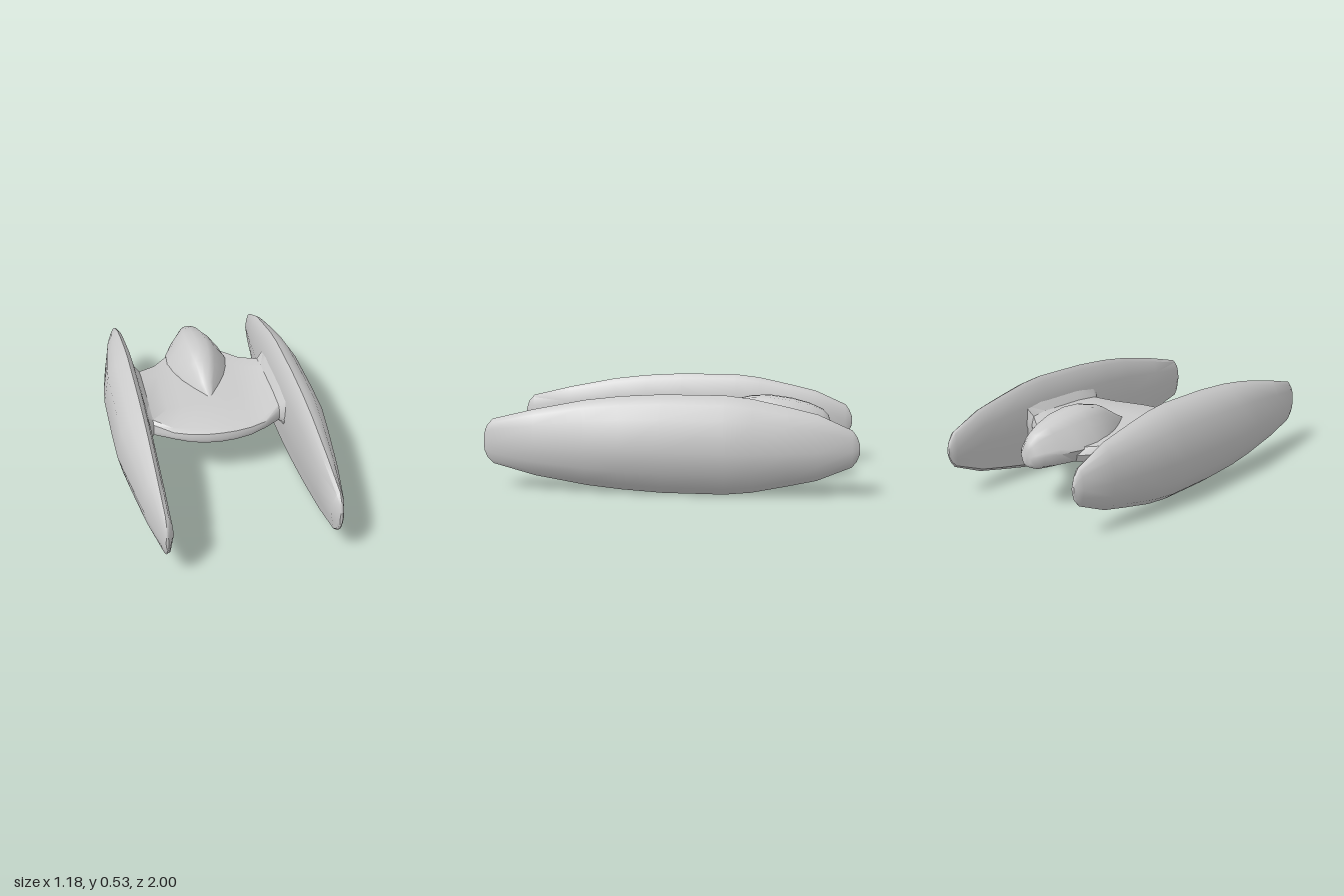
import * as THREE from 'three';
import { toCreasedNormals } from 'three/addons/utils/BufferGeometryUtils.js';

const material = new THREE.MeshStandardMaterial({ color: 0xcccccc });

// Skins a list of closed loops (equal point counts) and caps both ends.
function loft(name, loops, crease) {
  const n = loops[0].length, pos = loops.flat(2), tri = [];
  for (let i = 0; i < loops.length - 1; i++) {
    for (let j = 0; j < n; j++) {
      const a = i * n + j, b = i * n + (j + 1) % n;
      tri.push(a, b, a + n, b, b + n, a + n);
    }
  }
  for (const i of [0, loops.length - 1]) {
    const c = pos.length / 3;
    for (let k = 0; k < 3; k++) pos.push(loops[i].reduce((s, p) => s + p[k], 0) / n);
    for (let j = 0; j < n; j++) {
      const a = i * n + j, b = i * n + (j + 1) % n;
      tri.push(...(i ? [a, b, c] : [b, a, c]));
    }
  }
  // Turn the faces outward if the enclosed volume is negative
  const v = tri.map((i) => new THREE.Vector3().fromArray(pos, i * 3));
  let volume = 0;
  for (let i = 0; i < v.length; i += 3) volume += v[i].dot(v[i + 1].clone().cross(v[i + 2]));
  if (volume < 0) tri.reverse();
  const geo = new THREE.BufferGeometry();
  geo.setAttribute('position', new THREE.Float32BufferAttribute(pos, 3));
  geo.setIndex(tri);
  const mesh = new THREE.Mesh(toCreasedNormals(geo, crease), material);
  mesh.name = name;
  return mesh;
}

// Long side pod: faceted lens section around a vertical ridge at x = 0.44
function makePod(side) {
  const section = [[0, 1], [0.2, 0.95], [0.47, 0.84], [0.8, 0.56], [1, -0.08], [0.82, -0.52], [0.47, -0.84],
    [0.08, -1], [-0.45, -0.9], [-0.65, -0.5], [-0.9, 0], [-0.75, 0.5], [-0.4, 0.9]];
  // z, top, bottom, outer width, inner width
  const stations = [[1, 0.3, 0.21, 0.008, 0.008], [0.985, 0.345, 0.175, 0.018, 0.025], [0.95, 0.384, 0.14, 0.03, 0.044],
    [0.72, 0.44, 0.08, 0.078, 0.05], [0.44, 0.495, 0.035, 0.12, 0.055], [0.25, 0.518, 0.017, 0.147, 0.06],
    [0.03, 0.531, 0.004, 0.15, 0.065], [-0.3, 0.531, 0.004, 0.15, 0.065], [-0.44, 0.515, 0.018, 0.137, 0.062],
    [-0.63, 0.475, 0.057, 0.108, 0.055], [-0.78, 0.44, 0.09, 0.08, 0.047], [-0.96, 0.36, 0.165, 0.035, 0.03],
    [-0.985, 0.325, 0.195, 0.02, 0.018], [-1, 0.285, 0.235, 0.008, 0.008]];
  const loops = stations.map(([z, top, bottom, out, inn]) => section.map(([u, v]) => [
    side * (0.44 + u * (u > 0 ? out : inn)), (top + bottom) / 2 + v * (top - bottom) / 2, z]));
  return loft(side > 0 ? 'leftPod' : 'rightPod', loops, 0.7);
}

// Wing slab, lofted from pod to pod, flaring where it joins each pod
function makeWing() {
  const section = [[0, 0.5], [0.01, 0.78], [0.05, 0.92], [0.3, 1], [0.8, 1], [0.97, 0.92], [1, 0.55],
    [0.97, 0.18], [0.8, 0.04], [0.3, 0], [0.06, 0.2], [0.01, 0.32]];
  // x, front z, back z, top, bottom
  const half = [[0.42, 0.16, -0.5, 0.43, 0.13], [0.405, 0.14, -0.48, 0.415, 0.15], [0.36, 0.1, -0.46, 0.35, 0.21],
    [0.26, 0.175, -0.54, 0.325, 0.232], [0.17, 0.208, -0.64, 0.325, 0.215], [0.08, 0.226, -0.68, 0.327, 0.208]];
  const mirrored = half.map(([x, ...rest]) => [-x, ...rest]).reverse();
  const loops = [...half, [0, 0.23, -0.69, 0.328, 0.205], ...mirrored].map(([x, front, back, top, bottom]) =>
    section.map(([t, f]) => [x, bottom + f * (top - bottom), front + t * (back - front)]));
  return loft('wing', loops, 0.7);
}

// Central hull: rises out of the wing into a hump and rounds off at the tail
function makeHull() {
  // fraction of half width, fraction of height above the belly line
  const upper = [[1, 0], [0.92, 0.18], [0.74, 0.45], [0.55, 0.74], [0.32, 0.97], [0, 1]];
  // z, half width, top, shoulder, belly
  const stations = [[-0.1, 0.015, 0.322, 0.3, 0.26], [-0.2, 0.07, 0.375, 0.31, 0.25], [-0.32, 0.13, 0.445, 0.315, 0.24],
    [-0.42, 0.165, 0.468, 0.315, 0.23], [-0.52, 0.185, 0.472, 0.31, 0.215], [-0.64, 0.172, 0.457, 0.305, 0.213],
    [-0.74, 0.13, 0.432, 0.3, 0.215], [-0.815, 0.088, 0.4, 0.295, 0.22], [-0.848, 0.055, 0.365, 0.29, 0.232],
    [-0.86, 0.025, 0.33, 0.285, 0.25]];
  const loops = stations.map(([z, w, top, mid, belly]) => {
    const right = upper.map(([u, v]) => [u * w, mid + v * (top - mid), z]);
    const left = right.slice(0, -1).reverse().map(([x, y]) => [-x, y, z]);
    const under = [-0.75, -0.35, 0.35, 0.75].map((u) =>
      [u * w, belly + (Math.abs(u) > 0.5 ? 0.25 * (mid - belly) : 0), z]);
    return [...right, ...left, ...under];
  });
  return loft('centralHull', loops, 0.9);
}

export function createModel() {
  const model = new THREE.Group();
  model.name = 'twinPodCraft';
  model.add(makePod(1), makePod(-1), makeWing(), makeHull());
  return model;
}
